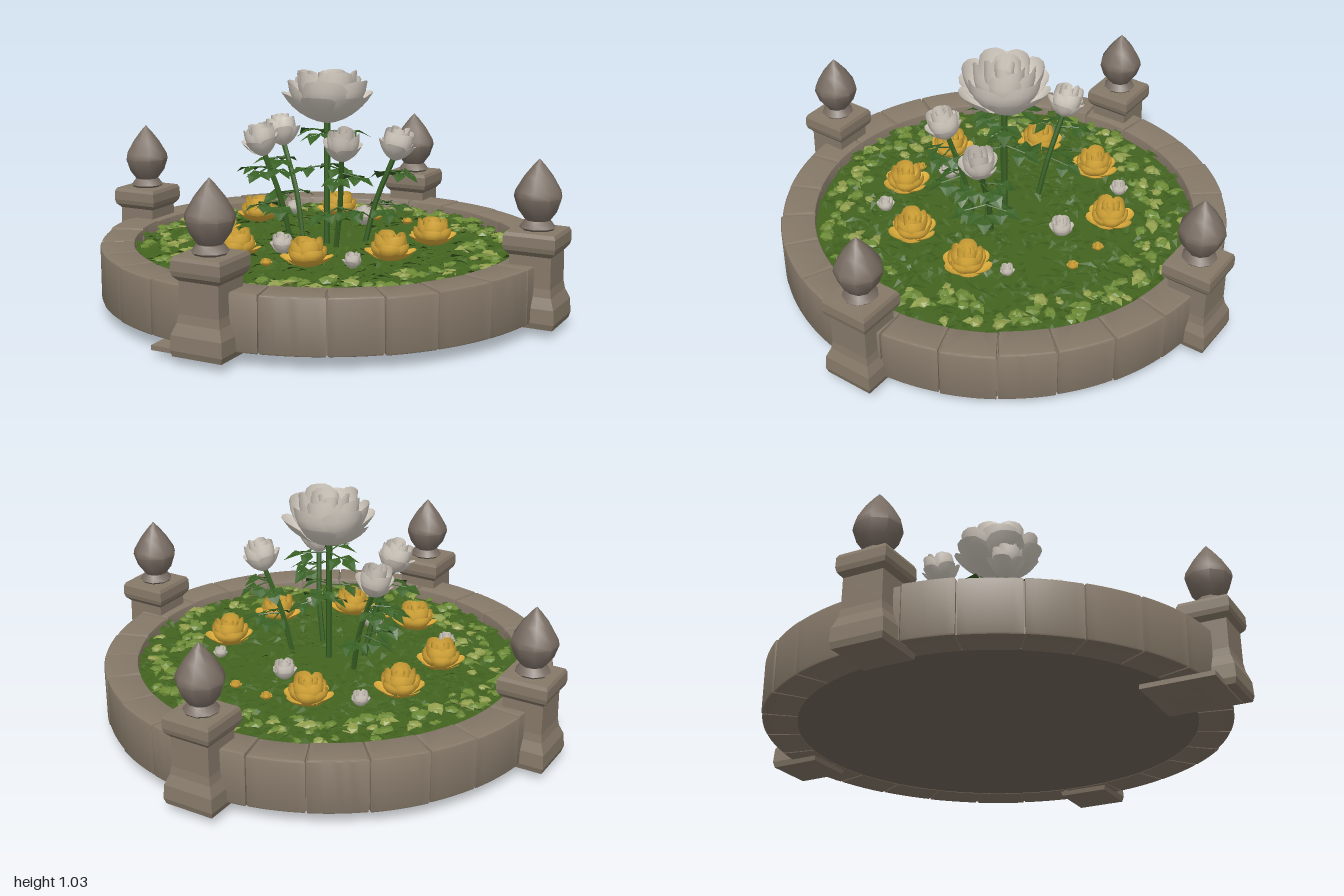
import * as THREE from 'three';
import { mergeGeometries, toCreasedNormals } from 'three/addons/utils/BufferGeometryUtils.js';

const mat = (name, color, side = THREE.FrontSide) => {
  const m = new THREE.MeshStandardMaterial({ color, side });
  m.name = name;
  return m;
};

// Small seeded generator, returns a value between a and b
let seed = 7;
const rnd = (a, b) => {
  seed = (seed * 16807) % 2147483647;
  return a + (b - a) * (seed / 2147483647);
};

const V = (x, y, z) => new THREE.Vector3(x, y, z);
const flat = (g) => {
  const f = g.index ? g.toNonIndexed() : g;
  f.computeVertexNormals();
  return f;
};

// One wedge-shaped kerb stone between two angles
function kerbStone(a0, a1, outer, top) {
  const s = new THREE.Shape();
  const bevel = 0.009, gap = 0.012;
  s.absarc(0, 0, outer - bevel, a0 + gap, a1 - gap, false);
  s.absarc(0, 0, 0.848 + bevel, a1 - gap, a0 + gap, true);
  const g = new THREE.ExtrudeGeometry(s, {
    depth: top - 0.055 - 2 * bevel, bevelEnabled: true, bevelSize: bevel,
    bevelThickness: bevel, bevelSegments: 2, curveSegments: 4,
  });
  g.rotateX(-Math.PI / 2).translate(0, 0.055 + bevel, 0);
  return toCreasedNormals(g, 0.5);
}

const lathe = (pts, n) => flat(new THREE.LatheGeometry(pts.map((p) => new THREE.Vector2(...p)), n));

// Folded leaf, base at the origin, pointing along +z
function leaf(len, width) {
  const g = new THREE.BufferGeometry();
  const h = width / 2;
  g.setAttribute('position', new THREE.Float32BufferAttribute([
    0, 0, 0, h, 0.12 * len, 0.45 * len, 0, 0.06 * len, 0.5 * len, -h, 0.12 * len, 0.45 * len, 0, -0.04 * len, len,
  ], 3));
  g.setIndex([0, 2, 1, 0, 3, 2, 1, 2, 4, 2, 3, 4]);
  return flat(g);
}

// Cupped petal: a sheet wrapped around the flower axis, edges tucked in
function petal(R, H, spread, curl, lip, turn) {
  const g = new THREE.PlaneGeometry(2, 1, 6, 6);
  const p = g.attributes.position;
  for (let i = 0; i < p.count; i++) {
    const u = p.getX(i);
    const v = (p.getY(i) + 0.5) * (1 - 0.16 * u ** 4);
    const a = turn + u * spread * (0.75 + 0.25 * Math.sin(v * 2.4));
    const r = (R * Math.sin(v * curl) + lip * v ** 5) * (1 - 0.13 * u * u + 0.05 * u);
    p.setXYZ(i, r * Math.sin(a), H * v ** 1.5, r * Math.cos(a));
  }
  g.computeVertexNormals();
  return g;
}

// Rose of radius 1: rings of [count, radius, height, curl, lip]
function roseGeometry(rings) {
  const parts = [];
  rings.forEach(([n, R, H, curl, lip], k) => {
    for (let i = 0; i < n; i++) {
      parts.push(petal(R * rnd(0.95, 1.03), H * rnd(0.94, 1.03), 3.7 / n, curl, lip,
        ((i + k * 0.45) / n) * Math.PI * 2 + rnd(-0.1, 0.1)));
    }
  });
  return mergeGeometries(parts);
}

export function createModel() {
  const model = new THREE.Group();
  const D = THREE.DoubleSide;
  const stone = mat('stone', 0x867969);
  const finialStone = mat('darker stone', 0x7a6e64);
  const earth = mat('earth', 0x74685c);
  const grass = mat('ground green', 0x436420);
  const leafGreen = mat('leaf green', 0x42631f, D);
  const stemGreen = mat('stem green', 0x386024, D);
  const paleGreen = mat('pale green', 0x92a04e, D);
  const midGreen = mat('mid green', 0x6c8a36, D);
  const white = mat('white petals', 0xdad2c7, D);
  const yellow = mat('yellow petals', 0xe2b03c, D);
  const add = (name, geo, m, parent = model) => {
    const mesh = new THREE.Mesh(geo, m);
    mesh.name = name;
    parent.add(mesh);
    return mesh;
  };

  // Kerb ring of separate stones over a recessed core
  const N = 26, step = (Math.PI * 2) / N, stones = [];
  const first = -1.658;
  let from = first;
  for (let i = 0; i < N; i++) {
    const to = i === N - 1 ? first + 2 * Math.PI : first + step * (i + 1 + rnd(-0.1, 0.1));
    stones.push(kerbStone(from, to, rnd(0.992, 1.002), rnd(0.283, 0.292)));
    from = to;
  }
  add('kerbStones', mergeGeometries(stones), stone);
  add('kerbCore', lathe([[0.86, 0.062], [0.985, 0.062], [0.985, 0.275], [0.86, 0.275]], 52), stone);

  // Earth base and slightly domed planting surface
  add('earthBase', new THREE.CylinderGeometry(0.87, 0.86, 0.15, 52).translate(0, 0.135, 0), earth);
  add('plantingSurface', lathe([[0.87, 0.235], [0.75, 0.24], [0.4, 0.25], [0, 0.255]], 52), grass);

  // Four corner posts with bud-shaped finials
  const postGeo = lathe([[0, 0.035], [0.155, 0.035], [0.165, 0.06], [0.16, 0.12], [0.135, 0.165], [0.127, 0.2],
    [0.125, 0.33], [0.15, 0.35], [0.157, 0.37], [0.155, 0.41], [0.145, 0.425], [0, 0.427]], 4);
  const finialGeo = toCreasedNormals(lathe([[0.06, 0.42], [0.075, 0.435], [0.06, 0.455], [0.052, 0.465], [0.082, 0.505],
    [0.1, 0.56], [0.095, 0.585], [0.06, 0.645], [0.025, 0.69], [0, 0.718]], 9), 0.75);
  for (const sx of [-1, 1]) for (const sz of [-1, 1]) {
    const post = new THREE.Group();
    post.name = 'cornerPost';
    post.position.set(sx * 0.682, 0, sz * 0.695);
    add('post', postGeo, stone, post);
    add('finial', finialGeo, finialStone, post).rotation.y = sx + sz * 0.4;
    model.add(post);
  }

  // Loose footing slab under the front corner post
  const slabGeo = new THREE.BoxGeometry(0.33, 0.05, 0.31, 6, 1, 4);
  const sp = slabGeo.attributes.position;
  for (let i = 0; i < sp.count; i++) {
    const e = Math.max(Math.abs(sp.getX(i)) / 0.165, Math.abs(sp.getZ(i)) / 0.155);
    if (sp.getY(i) < 0) sp.setY(i, -0.025 + 0.03 * e * e);
  }
  const slab = add('footingSlab', flat(slabGeo), stone);
  slab.position.set(-0.672, 0.025, 0.587);
  slab.rotation.y = -Math.PI / 4;

  // Low leaf carpet
  const carpet = [];
  for (let i = 0; i < 1100; i++) {
    const r = 0.82 * Math.sqrt(rnd(0.02, 1)), a = rnd(0, Math.PI * 2);
    const g = leaf(rnd(0.06, 0.1), rnd(0.035, 0.06));
    g.rotateZ(rnd(-0.3, 0.3)).rotateX(rnd(-0.3, 0.1)).rotateY(rnd(0, 6.28));
    carpet.push(g.translate(r * Math.sin(a), rnd(0.248, 0.262) - 0.012 * r * r, r * Math.cos(a)));
  }
  add('leafCarpet', mergeGeometries(carpet), leafGreen);

  // Lighter tufts near the kerb: rounded clumps and leaves in two greens
  const tufts = [[], []];
  for (let i = 0; i < 150; i++) {
    const r = rnd(0.62, 0.81), a = (i / 150) * Math.PI * 2 + rnd(-0.05, 0.05), s = rnd(0.018, 0.036);
    const place = (g) => g.rotateZ(rnd(-0.3, 0.3)).rotateY(rnd(0, 6.28))
      .translate(r * Math.sin(a), rnd(0.262, 0.27), r * Math.cos(a));
    const clump = flat(new THREE.IcosahedronGeometry(s, 0).scale(1, 0.45, rnd(0.8, 1.3))).deleteAttribute('uv');
    tufts[i % 3 === 0 ? 0 : 1].push(place(clump), place(leaf(s * 2, s * 1.3)));
  }
  add('paleTufts', mergeGeometries(tufts[0]), paleGreen);
  add('midTufts', mergeGeometries(tufts[1]), midGreen);

  // Flower heads
  const large = roseGeometry([[6, 0.98, 0.68, 1.45, 0.1], [5, 0.86, 1.0, 1.7, 0.06], [5, 0.66, 1.17, 1.85, 0.06],
    [3, 0.42, 1.17, 1.9, 0.05], [3, 0.2, 1.12, 1.9, 0.04]]);
  const low = roseGeometry([[6, 0.98, 0.5, 1.45, 0.1], [5, 0.84, 0.82, 1.8, 0], [4, 0.66, 1.18, 2, 0.04],
    [3, 0.4, 1.14, 1.9, 0.04], [2, 0.18, 1.08, 1.9, 0.03]]);
  const bud = roseGeometry([[5, 0.98, 0.8, 1.5, 0.14], [4, 0.85, 1.25, 2, 0.08], [3, 0.55, 1.42, 2, 0.05], [2, 0.25, 1.4, 2, 0.03]]);
  const head = (name, geo, m, pos, s, sy = s, lean = 0) => {
    const f = add(name, geo, m);
    f.position.copy(pos);
    f.scale.set(s, sy, s);
    const tilt = new THREE.Quaternion().setFromAxisAngle(V(pos.z, 0, -pos.x).normalize(), lean);
    f.quaternion.copy(tilt).multiply(new THREE.Quaternion().setFromAxisAngle(V(0, 1, 0), rnd(0, 6)));
  };

  // A stalk carrying a tip leaf and a pair of side leaves
  const stems = [], leaves = [];
  const spray = (pos, yaw, len, droop) => {
    const set = (g) => g.rotateX(droop).rotateY(yaw).translate(pos.x, pos.y, pos.z);
    stems.push(set(flat(new THREE.CylinderGeometry(0.003, 0.004, len * 0.6, 4).rotateX(Math.PI / 2).translate(0, 0, len * 0.3))));
    leaves.push(set(leaf(len * 0.55, 0.065).rotateZ(rnd(-0.3, 0.3)).rotateX(0.25).translate(0, 0, len * 0.52)));
    for (const s of [-1, 1]) {
      leaves.push(set(leaf(len * 0.5, 0.06).rotateX(0.3).rotateY(s * 1.1).translate(0, 0, len * 0.42)));
    }
  };
  const stem = (base, tip, r) => {
    const mid = base.clone().lerp(tip, 0.5).add(V(-0.012 * Math.sign(tip.x), 0, -0.012 * Math.sign(tip.z)));
    stems.push(flat(new THREE.TubeGeometry(new THREE.CatmullRomCurve3([base, mid, tip]), 6, r, 6)));
  };

  // Tall central rose
  stem(V(0, 0.24, 0), V(0, 0.82, 0), 0.014);
  head('centralRose', large, white, V(0, 0.795, 0), 0.195, 0.2);
  for (let i = 0; i < 3; i++) {
    spray(V(0, 0.76, 0), i * 2.1 + 1.4, 0.19, 0.02);
    spray(V(0, 0.61, 0), i * 2.1 + 0.4, 0.17, 0.12);
  }

  // Ring of leaning white roses
  for (const [x, y, z] of [[-0.28, 0.655, -0.05], [-0.12, 0.655, -0.295], [0.265, 0.64, 0.15], [-0.015, 0.665, 0.255]]) {
    const base = V(x * 0.55, 0.24, z * 0.55), tip = V(x * 0.97, y + 0.01, z * 0.97), out = Math.atan2(x, z);
    stem(base, tip, 0.012);
    head('whiteRose', bud, white, V(x * 0.97, y, z * 0.97), 0.078, 0.107, 0.22);
    for (const a of [-1.1, 0.3, 1.5]) {
      spray(base.clone().lerp(tip, 0.5), out + a, 0.16, rnd(0.05, 0.25));
      spray(base.clone().lerp(tip, 0.86), out + a + 0.6, 0.15, rnd(0.05, 0.25));
    }
  }
  add('stems', mergeGeometries(stems), stemGreen);
  add('stemLeaves', mergeGeometries(leaves), stemGreen);

  // Low yellow roses
  for (const [x, z] of [[-0.19, -0.46], [0.2, -0.44], [-0.44, -0.25], [-0.46, 0.18], [-0.22, 0.42], [0.14, 0.43], [0.41, 0.23]]) {
    head('yellowRose', low, yellow, V(x, 0.268, z), 0.1, 0.102);
  }

  // Small buds between the roses
  for (const [x, z, s] of [[-0.53, -0.07, 0.038], [0, -0.53, 0.038], [0.48, 0.07, 0.03], [-0.06, 0.53, 0.038],
    [-0.265, 0.21, 0.05], [0.25, -0.21, 0.05]]) head('whiteBud', bud, white, V(x, 0.275, z), s, s * 1.3);
  for (const [x, z] of [[0.465, -0.215], [0.36, -0.35], [-0.37, 0.335]]) {
    head('yellowBud', bud, yellow, V(x, 0.26, z), 0.024);
  }
  return model;
}
